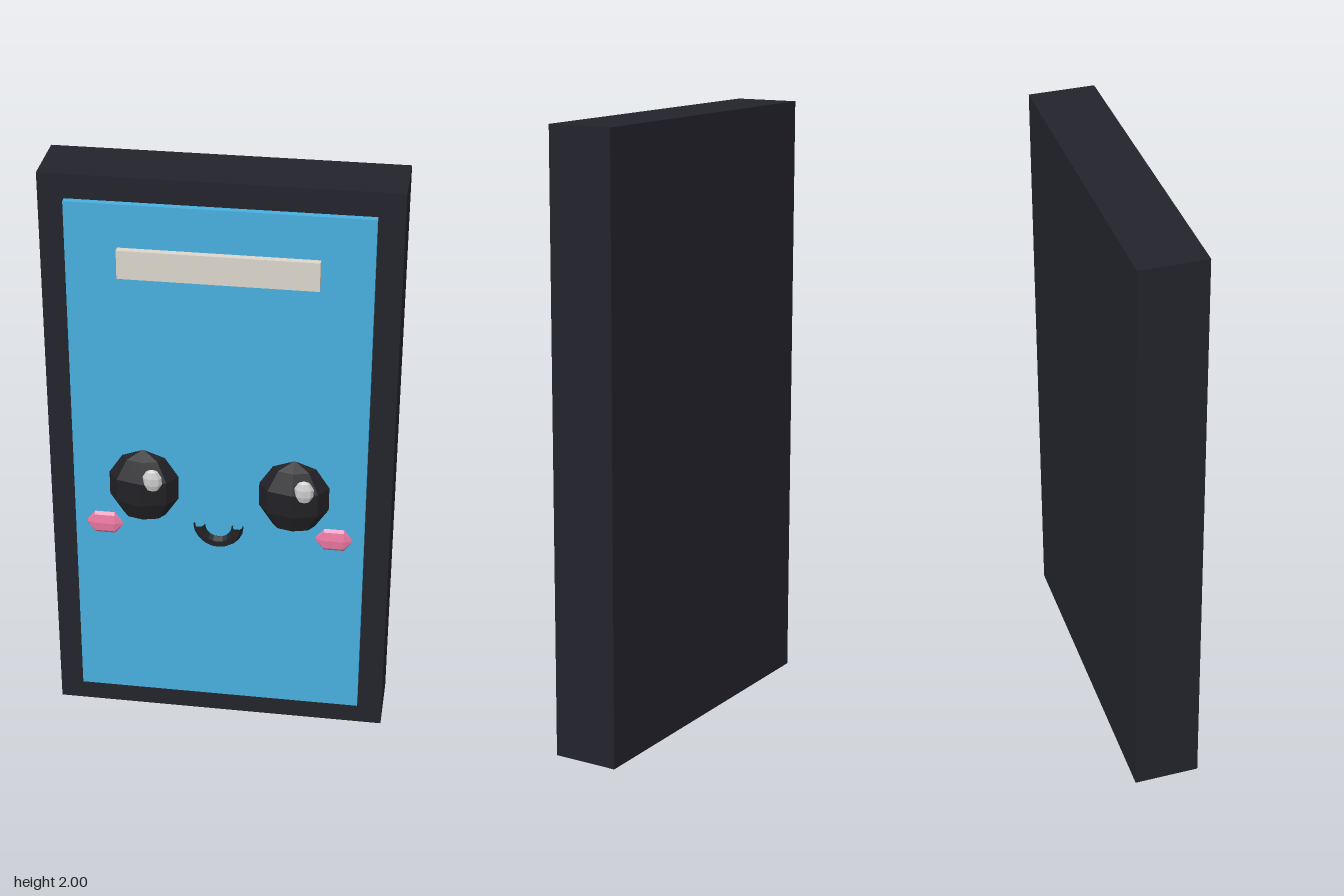
import * as THREE from 'three';

const mat = (color, extra = {}) => {
  const m = new THREE.MeshStandardMaterial(extra);
  m.color.set(color);
  return m;
};

export function createModel() {
  const model = new THREE.Group();
  const dark = mat(0x23232c);
  const faceDark = mat(0x222226, { flatShading: true, side: THREE.DoubleSide });
  const pink = mat(0xee7aa4, { flatShading: true });
  const white = mat(0xffffff, { flatShading: true });

  const add = (name, geometry, material, x, y, z) => {
    const mesh = new THREE.Mesh(geometry, material);
    mesh.name = name;
    mesh.position.set(x, y, z);
    model.add(mesh);
    return mesh;
  };

  // Slab body, raised screen and the bar near its top
  add('body', new THREE.BoxGeometry(1.13, 2, 0.218), dark, 0, 1, -0.049);
  add('screen', new THREE.BoxGeometry(0.964, 1.835, 0.03), mat(0x48b0e0), 0, 1.002, 0.067);
  add('speakerBar', new THREE.BoxGeometry(0.632, 0.096, 0.035), mat(0xddd7cc), 0, 1.727, 0.087);

  // Faceted ellipsoids: eyes, their highlights and the cheeks
  const eyeGeo = new THREE.SphereGeometry(1, 8, 5).scale(0.122, 0.135, 0.074);
  const glintGeo = new THREE.SphereGeometry(1, 8, 5).scale(0.033, 0.042, 0.018);
  const cheekGeo = new THREE.SphereGeometry(1, 8, 3).rotateZ(Math.PI / 2).scale(0.066, 0.05, 0.016);
  for (const [side, s] of [['left', 1], ['right', -1]]) {
    add(side + 'Eye', eyeGeo, faceDark, s * 0.248, 0.92, 0.08);
    add(side + 'EyeHighlight', glintGeo, white, s * 0.248 + 0.038, 0.975, 0.14);
    add(side + 'Cheek', cheekGeo, pink, s * 0.383, 0.763, 0.08);
  }

  // Smile: lower half of a ring
  const smile = new THREE.TorusGeometry(0.064, 0.02, 6, 10, Math.PI).rotateZ(Math.PI);
  add('smile', smile, faceDark, 0, 0.79, 0.09);

  return model;
}
